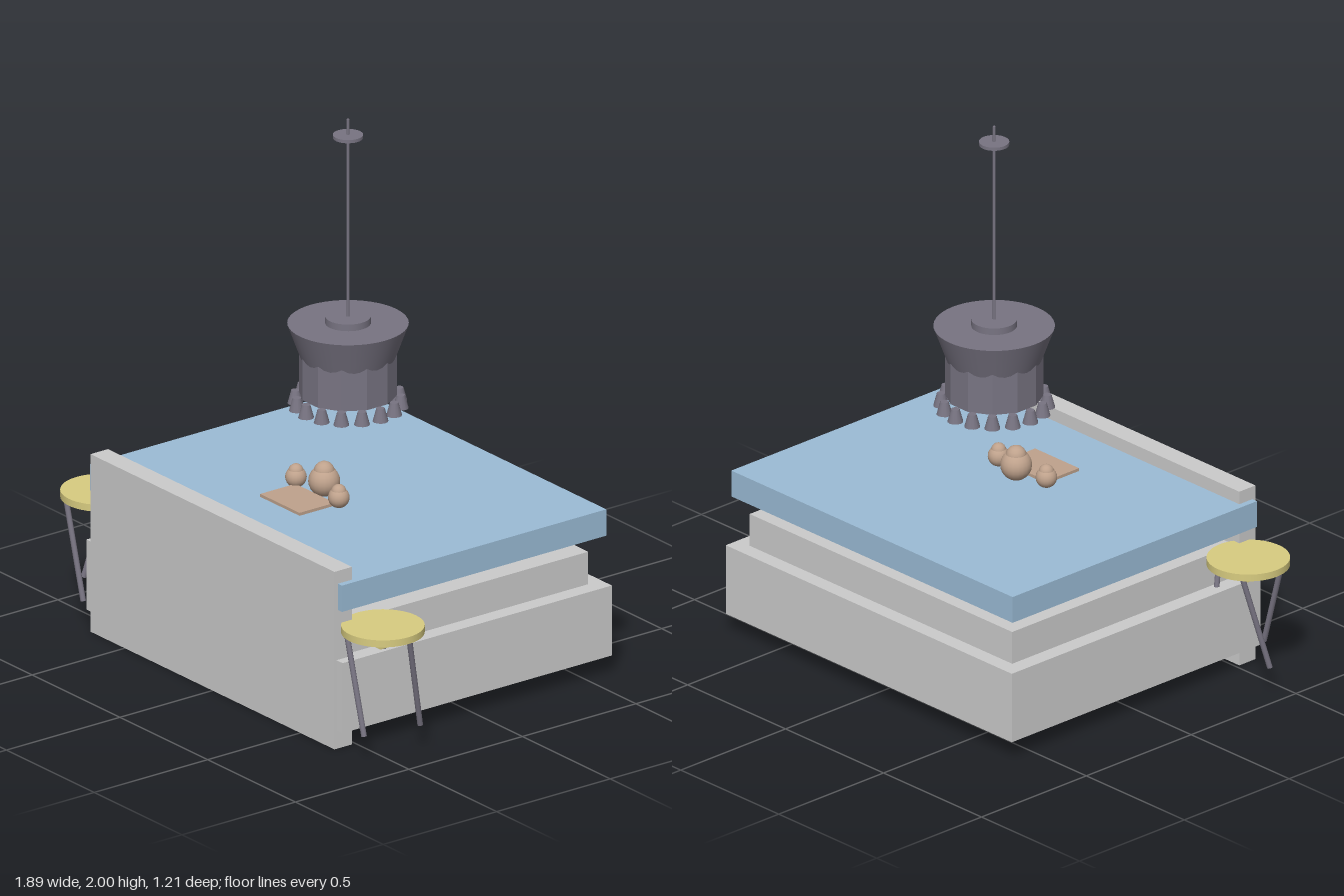
import * as THREE from 'three';

const mat = (color) => new THREE.MeshStandardMaterial({ color });

export function createModel() {
  const model = new THREE.Group();
  const grey = mat(0xcccccc), blue = mat(0x9bbcd6), dark = mat(0x787482);
  const yellow = mat(0xd8cc80), tan = mat(0xbfa28c);

  const add = (parent, name, geometry, material, x = 0, y = 0, z = 0) => {
    const mesh = new THREE.Mesh(geometry, material);
    mesh.name = name;
    mesh.position.set(x, y, z);
    parent.add(mesh);
    return mesh;
  };
  const group = (name, x = 0, y = 0, z = 0) => {
    const g = new THREE.Group();
    g.name = name;
    g.position.set(x, y, z);
    model.add(g);
    return g;
  };
  // Box given by its lower and upper corners
  const box = (parent, name, material, a, b) => add(parent, name,
    new THREE.BoxGeometry(b[0] - a[0], b[1] - a[1], b[2] - a[2]), material,
    (a[0] + b[0]) / 2, (a[1] + b[1]) / 2, (a[2] + b[2]) / 2);
  // Upright cylinder or cone from y0 to y1
  const drum = (parent, name, material, rBottom, rTop, y0, y1, sides = 40) => add(parent, name,
    new THREE.CylinderGeometry(rTop, rBottom, y1 - y0, sides), material, 0, (y0 + y1) / 2, 0);

  // Bed
  const bed = group('bed');
  box(bed, 'headboard', grey, [-0.695, 0, 0.515], [0.695, 0.667, 0.592]);
  box(bed, 'bedBase', grey, [-0.73, 0.07, -0.603], [0.73, 0.333, 0.583]);
  box(bed, 'bedPlatform', grey, [-0.67, 0.333, -0.545], [0.67, 0.455, 0.525]);
  box(bed, 'mattress', blue, [-0.718, 0.52, -0.588], [0.718, 0.619, 0.577]);

  // Round side tables on three twisted legs
  for (const [name, x] of [['rightTable', -0.8], ['leftTable', 0.8]]) {
    const table = group(name, x, 0, 0.46);
    drum(table, 'tableTop', yellow, 0.146, 0.146, 0.443, 0.469, 48);
    box(table, 'tableBlock', yellow, [-0.05, 0.404, -0.05], [0.05, 0.43, 0.05]);
    for (let i = 0; i < 3; i++) {
      const at = (deg, y) => {
        const a = THREE.MathUtils.degToRad(deg + i * 120);
        return new THREE.Vector3(0.13 * Math.cos(a), y, 0.13 * Math.sin(a));
      };
      const path = new THREE.LineCurve3(at(68, 0.095), at(112, 0.445));
      const leg = add(table, 'tableLeg', new THREE.CylinderGeometry(0.01, 0.01, path.getLength(), 12), dark);
      leg.position.copy(path.getPoint(0.5));
      leg.quaternion.setFromUnitVectors(new THREE.Vector3(0, 1, 0), path.getTangent(0));
    }
  }

  // Hanging lamp
  const lamp = group('hangingLamp', 0, 0, -0.005);
  drum(lamp, 'lampRod', dark, 0.005, 0.005, 1.25, 2, 10);
  drum(lamp, 'ceilingPlate', dark, 0.053, 0.053, 1.93, 1.942, 32);
  drum(lamp, 'lampCap', dark, 0.08, 0.08, 1.235, 1.26);
  drum(lamp, 'lampFlare', dark, 0.163, 0.212, 1.1, 1.235, 48);
  const shade = drum(lamp, 'lampShade', dark, 0.172, 0.172, 0.97, 1.13, 12);
  shade.material = new THREE.MeshStandardMaterial({ color: 0x787482, flatShading: true });
  shade.rotation.y = Math.PI / 12;
  for (let i = 0; i < 16; i++) {
    const a = (i / 16) * Math.PI * 2;
    add(lamp, 'lampTassel', new THREE.CylinderGeometry(0.015, 0.028, 0.048, 12), dark,
      0.185 * Math.sin(a), 0.949, 0.185 * Math.cos(a));
  }

  // Tray with three round figurines
  const tray = group('trayAndFigurines');
  box(tray, 'tray', tan, [-0.112, 0.617, 0.14], [0.112, 0.63, 0.295]);
  const figurine = (name, x, z, body, head, top) => {
    const g = new THREE.Group();
    g.name = name;
    g.position.set(x, 0.617, z);
    add(g, 'figurineBody', new THREE.SphereGeometry(body, 20, 12), tan, 0, body * 0.9, 0);
    add(g, 'figurineHead', new THREE.SphereGeometry(head, 20, 10), tan, 0, top - 0.617 - head, 0);
    tray.add(g);
  };
  figurine('largeFigurine', 0, 0.1, 0.056, 0.037, 0.74);
  for (const s of [-1, 1]) figurine('smallFigurine', s * 0.122, 0.13, 0.038, 0.027, 0.7);

  return model;
}
